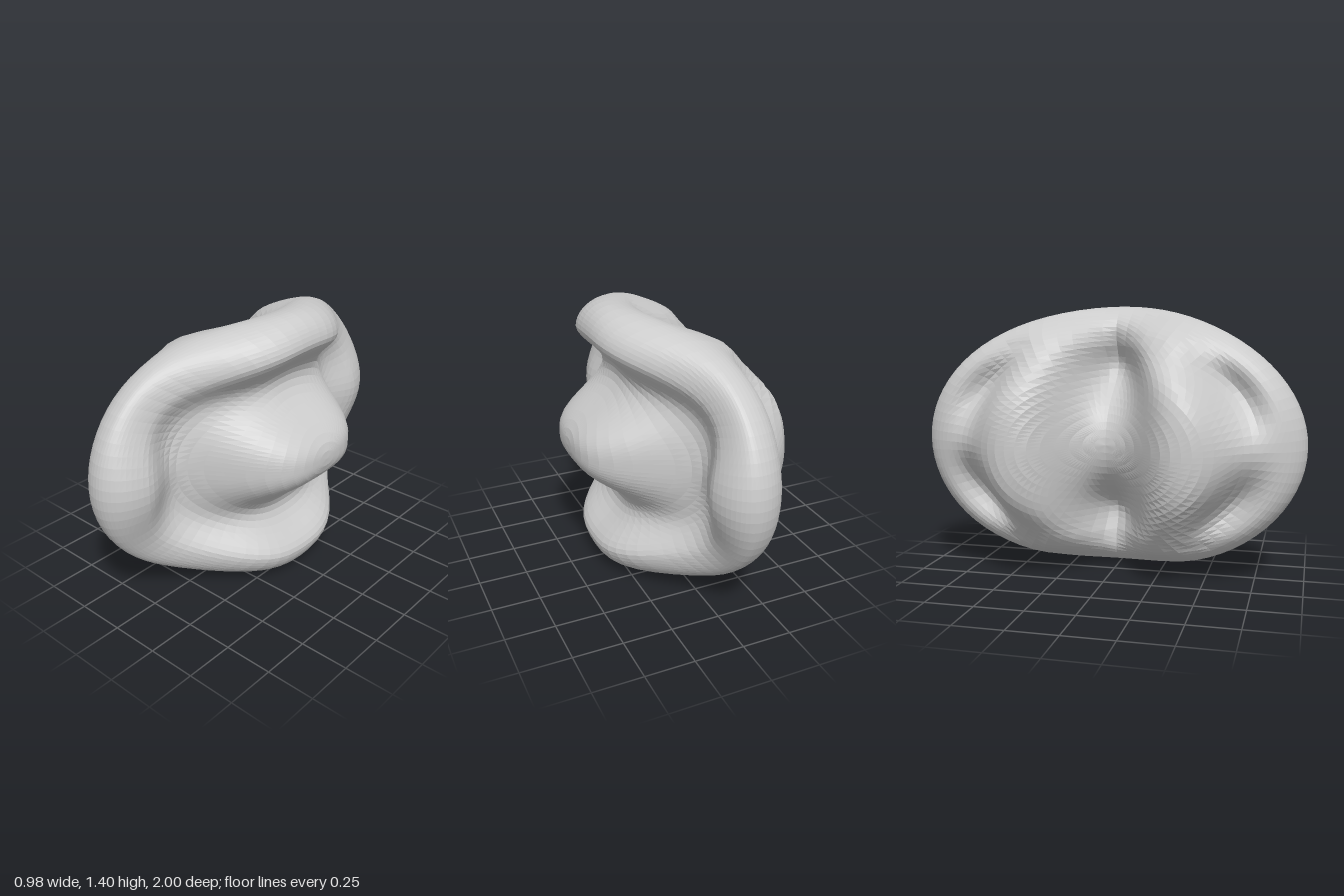
import * as THREE from 'three';

const { lerp, smoothstep } = THREE.MathUtils;
const bell = (v, width, power = 2) => Math.exp(-Math.pow(Math.abs(v) / width, power));

// Middle line of the rim: swings from -x at the z ends to +x at top and bottom
const rimCentre = (z) => -0.07 + 0.3 * bell(z, 0.45);

// 1 at the four diagonal corners of the rim, 0 on the y and z axes
function cornerWeight(z, r) {
  const s = r > 0 ? Math.min(1, (z / r) ** 2) : 0;
  return 6.75 * s * s * (1 - s);
}

// +x side: raised ring (weaker at its corners), moat and long central bump
function outerSide(h, z, r) {
  const corner = cornerWeight(z, r);
  const moat = -0.1 + 0.29 * bell(z, 0.5, 3);
  const ring = (0.185 - 0.07 * corner) * bell(Math.min(0, r - 0.82 - 0.05 * corner), 0.2);
  const bump = 0.3 * bell(h, 0.23, 2.6) * bell(z, 0.46, 5);
  return moat + ring + bump;
}

// -x side: two tall lobes, a valley with pockets between them, grooves along the rim
function innerSide(h, z, r) {
  const a = Math.abs(h);
  const taper = Math.min(1, (a / 0.5) ** 2);
  const middle = -0.19 - 0.05 * smoothstep(Math.abs(z), 0.5, 0.8);
  const floor = lerp(middle, rimCentre(z) - 0.19, smoothstep(a, 0, 0.6));
  const pocket = 0.14 * bell(a - 0.37, 0.14) * bell(z, 0.15);
  const groove = 0.12 * cornerWeight(z, r) * bell(r - 0.74, 0.11);
  const lobe = bell(Math.abs(z) - 0.43 + 0.17 * taper, 0.245 - 0.05 * taper, 2.6);
  return floor + pocket + groove - 0.3 * lobe * Math.max(0, 1 - (a / 0.65) ** 4);
}

export function createModel() {
  const group = new THREE.Group();
  group.name = 'foldedBody';

  // A sphere with its poles on x, reshaped into the two sides joined by a round rim
  const geometry = new THREE.SphereGeometry(1, 80, 56);
  geometry.rotateZ(-Math.PI / 2);
  const p = geometry.attributes.position;
  for (let i = 0; i < p.count; i++) {
    const r = Math.min(1, Math.hypot(p.getY(i), p.getZ(i)));
    const h = p.getY(i) * 0.7;
    const z = p.getZ(i);
    const side = p.getX(i) >= 0 ? outerSide(h, z, r) : innerSide(h, z, r);
    const centre = rimCentre(z);
    const cap = Math.sqrt(1 - Math.max(0, (r - 0.8) / 0.2) ** 2);
    p.setXYZ(i, centre + (side - centre) * cap, h + 0.7, z);
  }
  geometry.computeVertexNormals();

  const body = new THREE.Mesh(
    geometry,
    new THREE.MeshStandardMaterial({ color: 0xcccccc, flatShading: true })
  );
  body.name = 'body';
  group.add(body);
  return group;
}
